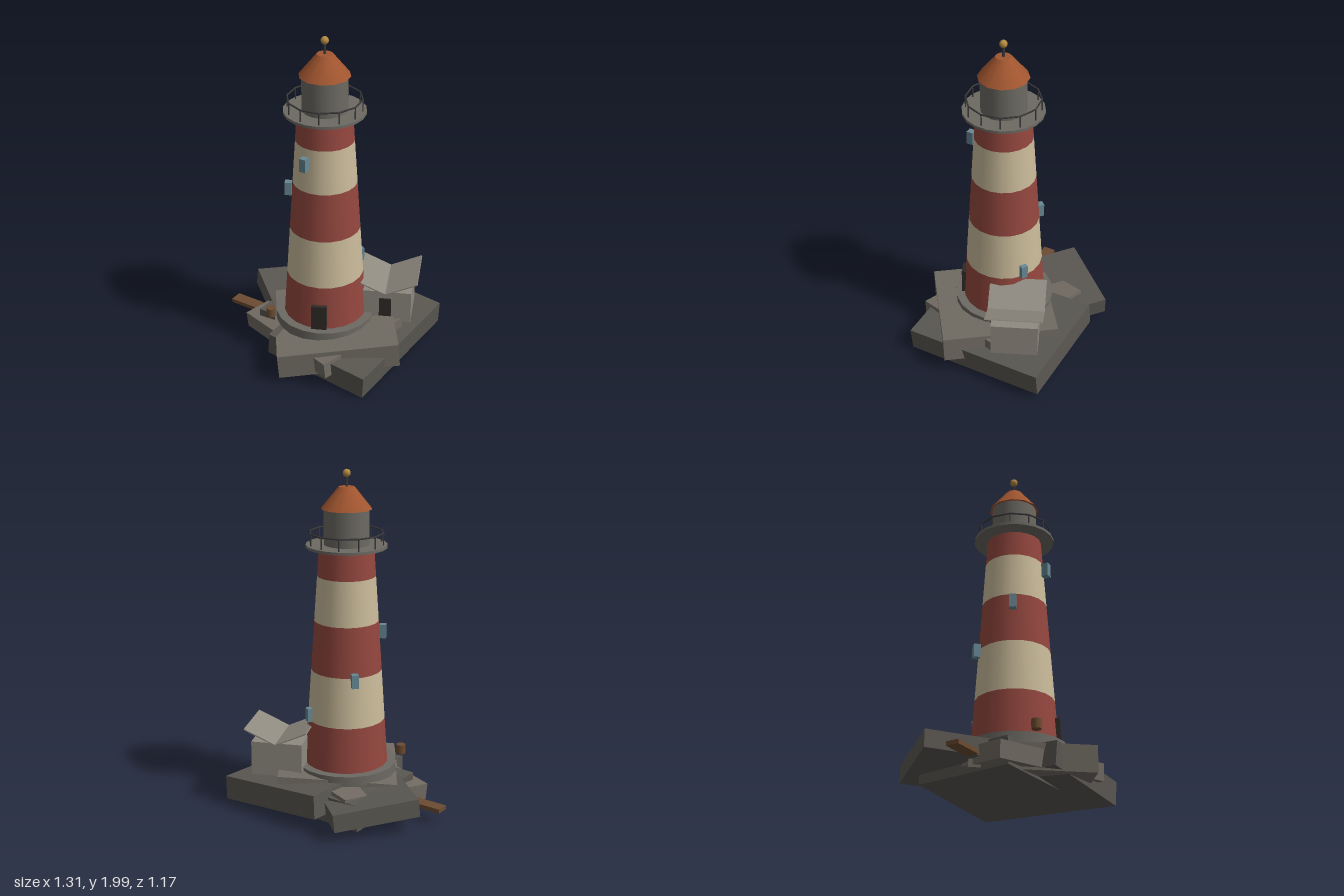
import * as THREE from 'three';

const mat = (color) => new THREE.MeshStandardMaterial({ color });
const red = mat(0x94473f), cream = mat(0xcabb9a), rock = mat(0x716b63), darkRock = mat(0x5a5751);
const stone = mat(0x6d6a63), iron = mat(0x3a3a3a), copper = mat(0xa0552f), brass = mat(0xb58a40);
const glass = mat(0x678894), dark = mat(0x2e2a27), wall = mat(0x8f8a80), wood = mat(0x6b4b30);
const deg = Math.PI / 180;

export function createModel() {
  const model = new THREE.Group();

  function add(name, geometry, material, x, y, z, parent = model) {
    const mesh = new THREE.Mesh(geometry, material);
    mesh.name = name;
    mesh.position.set(x, y, z);
    parent.add(mesh);
    return mesh;
  }
  const box = (w, h, d) => new THREE.BoxGeometry(w, h, d);
  const cyl = (rTop, rBottom, h, sides) => new THREE.CylinderGeometry(rTop, rBottom, h, sides);

  // Rock slabs: centre, size, yaw and the rise along their own x and z
  const slabs = [
    [0.161, 0.12, 0.04, 0.669, 0.14, 0.874, -25.7, -0.075, -0.043, darkRock],
    [-0.19, 0.13, -0.235, 0.5, 0.105, 0.55, 25.5, -0.09, -0.04, darkRock],
    [-0.04, 0.11, -0.08, 0.6, 0.16, 0.564, -25.2, 0, 0.03, darkRock],
    [0.04, 0.147, 0.093, 0.71, 0.15, 0.686, 12.3, 0.077, -0.015, rock],
    [-0.035, 0.14, 0.042, 0.755, 0.1, 0.61, -41.7, 0.046, -0.09, rock],
  ];
  for (const [x, y, z, w, h, d, yaw, riseX, riseZ, m] of slabs) {
    add('rockSlab', box(w, h, d), m, x, y, z).rotation.set(-riseZ, yaw * deg, riseX, 'YXZ');
  }

  // Everything round shares the tower axis
  const tower = new THREE.Group();
  tower.name = 'tower';
  tower.position.set(-0.026, 0, 0.036);
  model.add(tower);
  add('plinth', cyl(0.297, 0.297, 0.06, 20), stone, 0, 0.23, 0, tower);

  // Tapered shaft in striped bands
  const levels = [0.25, 0.53, 0.83, 1.125, 1.39, 1.545];
  const radiusAt = (y) => 0.247 - (y - 0.25) * 0.0672;
  for (let i = 0; i < 5; i++) {
    const a = levels[i], b = levels[i + 1];
    add('towerBand', cyl(radiusAt(b), radiusAt(a), b - a, 20), i % 2 ? cream : red, 0, (a + b) / 2, 0, tower);
  }
  add('towerDoor', box(0.09, 0.165, 0.03), dark, 0, 0.333, 0.242, tower);

  // Windows spiralling round the shaft: angle, height, distance from axis
  for (const [angle, y, r] of [[-24, 1.315, 0.214], [-86, 1.065, 0.212], [-156, 0.82, 0.225], [124, 0.57, 0.23]]) {
    const a = angle * deg;
    add('window', box(0.04, 0.08, 0.04), glass, Math.sin(a) * r, y, Math.cos(a) * r, tower).rotation.y = a;
  }

  // Gallery and railing
  add('galleryFloor', cyl(0.235, 0.235, 0.016, 20), stone, 0, 1.563, 0, tower);
  add('handrail', new THREE.TorusGeometry(0.213, 0.005, 6, 12), iron, 0, 1.64, 0, tower).rotation.x = Math.PI / 2;
  for (let i = 0; i < 12; i++) {
    const a = i * 30 * deg;
    add('railPost', cyl(0.004, 0.004, 0.075, 6), iron, Math.sin(a) * 0.213, 1.605, Math.cos(a) * 0.213, tower);
  }

  // Lantern room, roof and finial
  add('lanternRoom', cyl(0.132, 0.132, 0.21, 16), stone, 0, 1.673, 0, tower);
  add('lanternRoof', cyl(0.046, 0.147, 0.125, 12), copper, 0, 1.838, 0, tower);
  add('finialPost', cyl(0.007, 0.007, 0.08, 8), iron, 0, 1.93, 0, tower);
  add('finialBall', new THREE.SphereGeometry(0.023, 12, 8), brass, 0, 1.977, 0, tower);

  // Keeper's shed with a thin V-shaped roof
  const shed = new THREE.Group();
  shed.name = 'shed';
  shed.position.set(0.343, 0, -0.066);
  model.add(shed);
  add('shedWalls', box(0.304, 0.205, 0.275), wall, 0, 0.3125, 0, shed);
  add('shedDoor', box(0.072, 0.12, 0.014), dark, -0.002, 0.31, 0.14, shed);
  for (const side of [-1, 1]) {
    add('shedRoofPanel', box(0.206, 0.007, 0.336), wall, side * 0.094, 0.457, 0, shed).rotation.z = side * 0.425;
  }

  // Barrel and drifting plank
  add('barrel', cyl(0.028, 0.028, 0.056, 10), wood, -0.332, 0.287, 0.187);
  add('plank', box(0.19, 0.024, 0.075), wood, -0.556, 0.092, -0.172).rotation.y = -24 * deg;

  return model;
}
